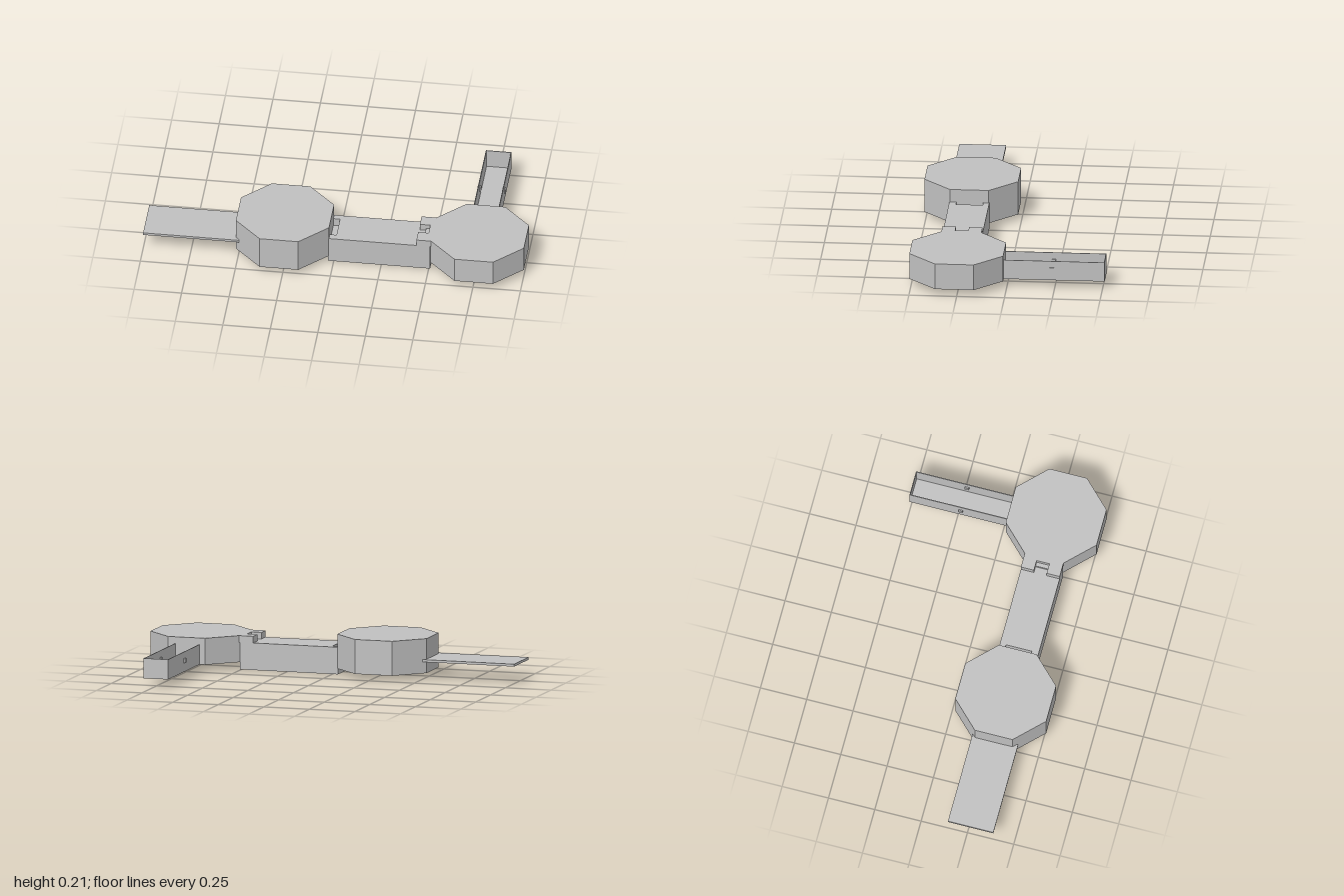
import * as THREE from 'three';

export function createModel() {
  const model = new THREE.Group();
  const grey = new THREE.MeshStandardMaterial({ color: 0xc0c0c0 });
  grey.name = 'grey';

  // Box given by its low and high corners
  function block(name, x0, x1, y0, y1, z0, z1) {
    const mesh = new THREE.Mesh(new THREE.BoxGeometry(x1 - x0, y1 - y0, z1 - z0), grey);
    mesh.name = name;
    mesh.position.set((x0 + x1) / 2, (y0 + y1) / 2, (z0 + z1) / 2);
    model.add(mesh);
    return mesh;
  }

  // Upright octagonal room with flat sides facing the axes
  function octagon(name, x, y0, y1) {
    const radius = 0.245 / Math.cos(Math.PI / 8);
    const geometry = new THREE.CylinderGeometry(radius, radius, y1 - y0, 8).toNonIndexed();
    geometry.rotateY(Math.PI / 8);
    geometry.computeVertexNormals();
    const mesh = new THREE.Mesh(geometry, grey);
    mesh.name = name;
    mesh.position.set(x, (y0 + y1) / 2, 0.263);
    model.add(mesh);
  }

  octagon('rightOctagon', -0.27, 0.03, 0.212);
  octagon('leftOctagon', 0.755, 0.038, 0.178);

  // Flat walkway
  block('walkway', -1, -0.495, 0.09, 0.103, 0.145, 0.39);

  // Connecting bar with a recess in its top beside the taller octagon
  block('connectingBar', 0.01, 0.507, 0, 0.143, 0.158, 0.367);
  block('recessFloor', -0.03, 0.01, 0, 0.1, 0.158, 0.367);
  block('recessSide', -0.03, 0.01, 0.1, 0.143, 0.158, 0.19);
  block('recessSide', -0.03, 0.01, 0.1, 0.143, 0.33, 0.367);

  // Forked latch on top of the bar
  for (const z of [0.158, 0.297]) block('latchProng', 0.435, 0.512, 0.143, 0.178, z, z + 0.07);
  block('latchBack', 0.49, 0.512, 0.143, 0.178, 0.228, 0.297);
  block('latchTongue', 0.468, 0.49, 0.143, 0.155, 0.228, 0.297);

  // Open-topped channel with thin walls
  const wall = 0.004;
  for (const x of [0.685, 0.82 - wall]) {
    block('channelWall', x, x + wall, 0.038, 0.143, -0.51, 0.025);
    block('channelPin', x - 0.007, x + wall + 0.007, 0.085, 0.108, -0.245, -0.222);
  }
  block('channelEnd', 0.685, 0.82, 0.038, 0.143, -0.51, -0.51 + wall);
  block('channelFloor', 0.685, 0.82, 0.038, 0.038 + wall, -0.51, 0.025);

  return model;
}
